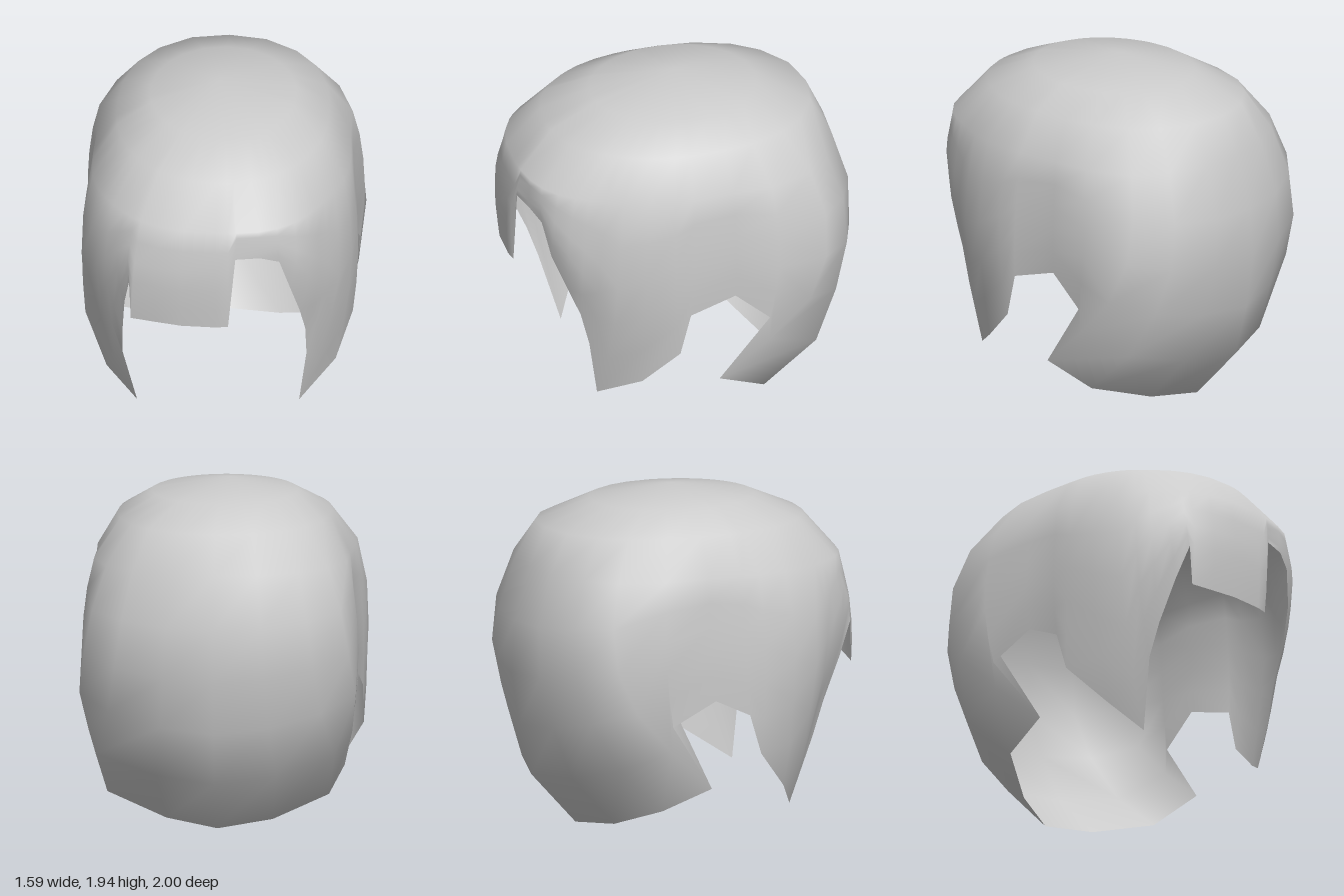
import * as THREE from 'three';

// Horizontal sections: [y, half width, front depth, back depth, squareness]
const SECTIONS = [
  [1.94, 0, 0, 0, 2],
  [1.86, 0.42, 0.5, 0.47, 2],
  [1.74, 0.61, 0.78, 0.78, 2.2],
  [1.52, 0.74, 0.965, 0.88, 2.55],
  [1.3, 0.77, 0.99, 0.96, 2.85],
  [1.1, 0.785, 0.95, 0.99, 3],
  [0.96, 0.79, 0.9, 1.0, 3],
  [0.73, 0.78, 0.8, 0.97, 3],
  [0.34, 0.74, 0.71, 0.91, 3],
  [0, 0.62, 0.65, 0.6, 2.8],
];

// Strands running down from the crown: [angle at brow, rim x, rim y, rim z]
const STRANDS = [
  // fringe end and open forehead
  [0, 0, 0.9, 1.0], [4, 0.07, 0.9, 0.99], [7, 0.11, 1.355, 0.985],
  [14.5, 0.25, 1.35, 0.955], [21, 0.36, 1.3, 0.91],
  // left side lock
  [28, 0.42, 1.1, 0.87], [34, 0.47, 0.9, 0.79], [39, 0.5, 0.73, 0.72],
  [45, 0.505, 0.53, 0.67], [52, 0.46, 0.17, 0.61], [62, 0.66, 0.32, 0.4], [73, 0.75, 0.52, 0.2],
  // left ear notch and the tab behind it
  [81, 0.76, 0.77, 0.14], [100, 0.75, 0.85, -0.13], [116, 0.77, 0.68, -0.33],
  [134, 0.7, 0.28, -0.05], [148, 0.65, 0.16, -0.33],
  // nape
  [164, 0.3, 0.04, -0.49], [180, 0, 0, -0.59], [-164, -0.31, 0.04, -0.49],
  // right tab and ear notch
  [-148, -0.62, 0.16, -0.33], [-134, -0.69, 0.28, -0.05], [-116, -0.77, 0.68, -0.33],
  [-97, -0.77, 0.81, -0.06], [-81, -0.78, 0.71, 0.15],
  // right side lock
  [-73, -0.78, 0.48, 0.22], [-62, -0.65, 0.25, 0.42], [-52, -0.47, 0.1, 0.54],
  [-46, -0.55, 0.5, 0.65], [-41, -0.545, 0.7, 0.72], [-35, -0.53, 0.95, 0.83],
  [-30, -0.5, 1.14, 0.91],
  // fringe
  [-27, -0.49, 0.9, 0.92], [-20, -0.35, 0.9, 0.955], [-11, -0.2, 0.9, 0.99],
];

const UPPER_ROWS = [1.86, 1.74, 1.52];
const LOWER_ROWS = 5;
const bump = (angle, centre, width) => Math.exp(-(((angle - centre) / width) ** 2));

// Distance of the shell from the vertical axis at an angle (degrees) and height
function shellRadius(deg, y) {
  let i = 0;
  while (i < SECTIONS.length - 2 && y < SECTIONS[i + 1][0]) i++;
  const [p, q] = [SECTIONS[i], SECTIONS[i + 1]];
  const f = (p[0] - y) / (p[0] - q[0]);
  const [, width, front, back, n] = p.map((v, k) => THREE.MathUtils.lerp(v, q[k], f));
  const a = THREE.MathUtils.degToRad(deg);
  const depth = Math.cos(a) > 0 ? front : back;
  const r = (Math.abs(Math.sin(a) / width) ** n + Math.abs(Math.cos(a) / depth) ** n) ** (-1 / n);
  // below the dome: full back corners, flatter left front corner, slightly pinched sides
  const shape = 0.075 * bump(Math.abs(deg), 127, 12) + 0.05 * bump(deg, -58, 12)
    - 0.07 * bump(deg, 43, 14) - 0.03 * bump(Math.abs(deg), 98, 12);
  return r * (1 + shape * THREE.MathUtils.smoothstep(1.86 - y, 0, 0.6));
}

function hairGeometry() {
  const positions = [-0.03, 1.94, 0];
  const index = [];
  const rows = UPPER_ROWS.length + LOWER_ROWS;
  const add = (deg, y, r) => {
    const a = THREE.MathUtils.degToRad(deg);
    positions.push(r * Math.sin(a), y, r * Math.cos(a));
  };

  for (const [top, x, y, z] of STRANDS) {
    for (const h of UPPER_ROWS) add(top, h, shellRadius(top, h));
    const rimAngle = THREE.MathUtils.radToDeg(Math.atan2(x, z));
    const fit = Math.hypot(x, z) / shellRadius(rimAngle, y);
    // each strand bends from its brow angle to its rim point
    for (let i = 1; i <= LOWER_ROWS; i++) {
      const t = i / LOWER_ROWS;
      const deg = THREE.MathUtils.lerp(top, rimAngle, t ** 3);
      const h = THREE.MathUtils.lerp(1.52, y, t);
      add(deg, h, shellRadius(deg, h) * THREE.MathUtils.lerp(1, fit, t * t));
    }
  }

  const count = STRANDS.length;
  for (let c = 0; c < count; c++) {
    const left = 1 + c * rows;
    const right = 1 + ((c + 1) % count) * rows;
    index.push(0, left, right);
    for (let r = 0; r < rows - 1; r++) {
      index.push(left + r, left + r + 1, right + r);
      index.push(left + r + 1, right + r + 1, right + r);
    }
  }

  const geometry = new THREE.BufferGeometry();
  geometry.setAttribute('position', new THREE.Float32BufferAttribute(positions, 3));
  geometry.setIndex(index);
  geometry.computeVertexNormals();
  return geometry;
}

export function createModel() {
  const group = new THREE.Group();
  group.name = 'hairpiece';
  const material = new THREE.MeshStandardMaterial({ color: 0xcccccc, side: THREE.DoubleSide });
  const hair = new THREE.Mesh(hairGeometry(), material);
  hair.name = 'hairShell';
  group.add(hair);
  return group;
}
